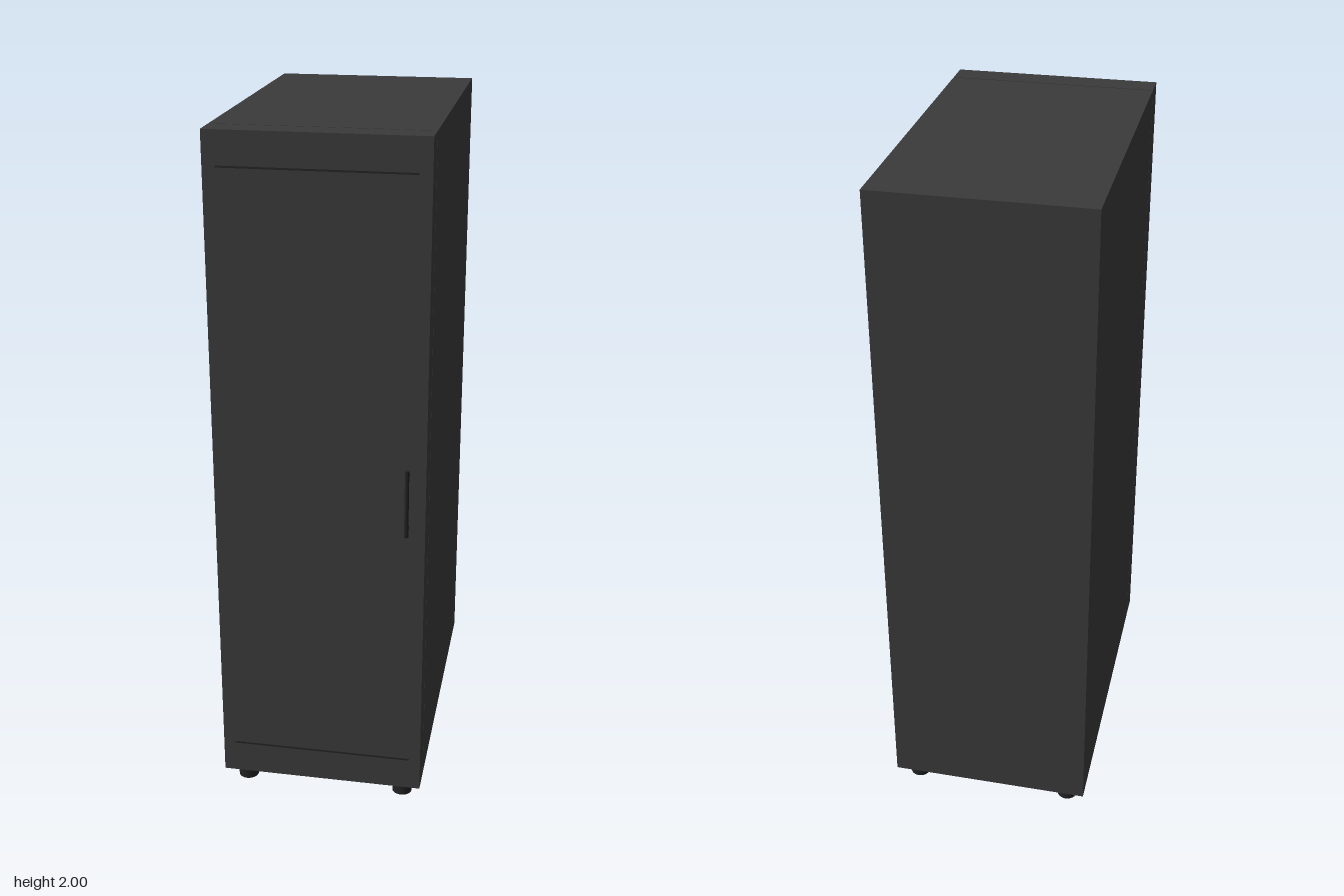
import * as THREE from 'three';

const cabinetGrey = new THREE.MeshStandardMaterial({ color: 0x3a3a3a });
cabinetGrey.name = 'cabinet grey';
const trimBlack = new THREE.MeshStandardMaterial({ color: 0x222222 });
trimBlack.name = 'trim black';

export function createModel() {
  const model = new THREE.Group();
  model.name = 'cabinet';

  const add = (name, geometry, material, x, y, z, parent = model) => {
    const mesh = new THREE.Mesh(geometry, material);
    mesh.name = name;
    mesh.position.set(x, y, z);
    parent.add(mesh);
    return mesh;
  };
  const box = (w, h, d) => new THREE.BoxGeometry(w, h, d);
  const rod = (r, h) => new THREE.CylinderGeometry(r, r, h, 24);

  // Cabinet body and full-height door, separated by a narrow recessed seal
  const bottom = 0.05, height = 1.95, middle = bottom + height / 2;
  add('body', box(0.6, height, 0.915), cabinetGrey, 0, middle, -0.0555);
  add('doorSeal', box(0.592, height - 0.008, 0.006), trimBlack, 0, middle, 0.404);
  add('door', box(0.6, height, 0.077), cabinetGrey, 0, middle, 0.4445);

  // Thin horizontal grooves near the top and bottom of the door
  for (const [name, y] of [['upperGroove', 1.905], ['lowerGroove', 0.15]]) {
    add(name, box(0.53, 0.005, 0.002), trimBlack, 0, y, 0.4835);
  }

  // Vertical bar handle on two standoffs
  const handle = new THREE.Group();
  handle.name = 'handle';
  handle.position.set(0.25, 1, 0);
  model.add(handle);
  add('handleBar', rod(0.006, 0.2), trimBlack, 0, 0, 0.507, handle);
  for (const y of [-0.08, 0.08]) {
    add('handlePost', rod(0.005, 0.026), trimBlack, 0, y, 0.495, handle).rotation.x = Math.PI / 2;
  }

  // Four round feet
  for (const x of [-0.24, 0.24]) {
    for (const z of [-0.455, 0.425]) {
      add('foot', rod(0.03, bottom), trimBlack, x, bottom / 2, z);
    }
  }
  return model;
}
